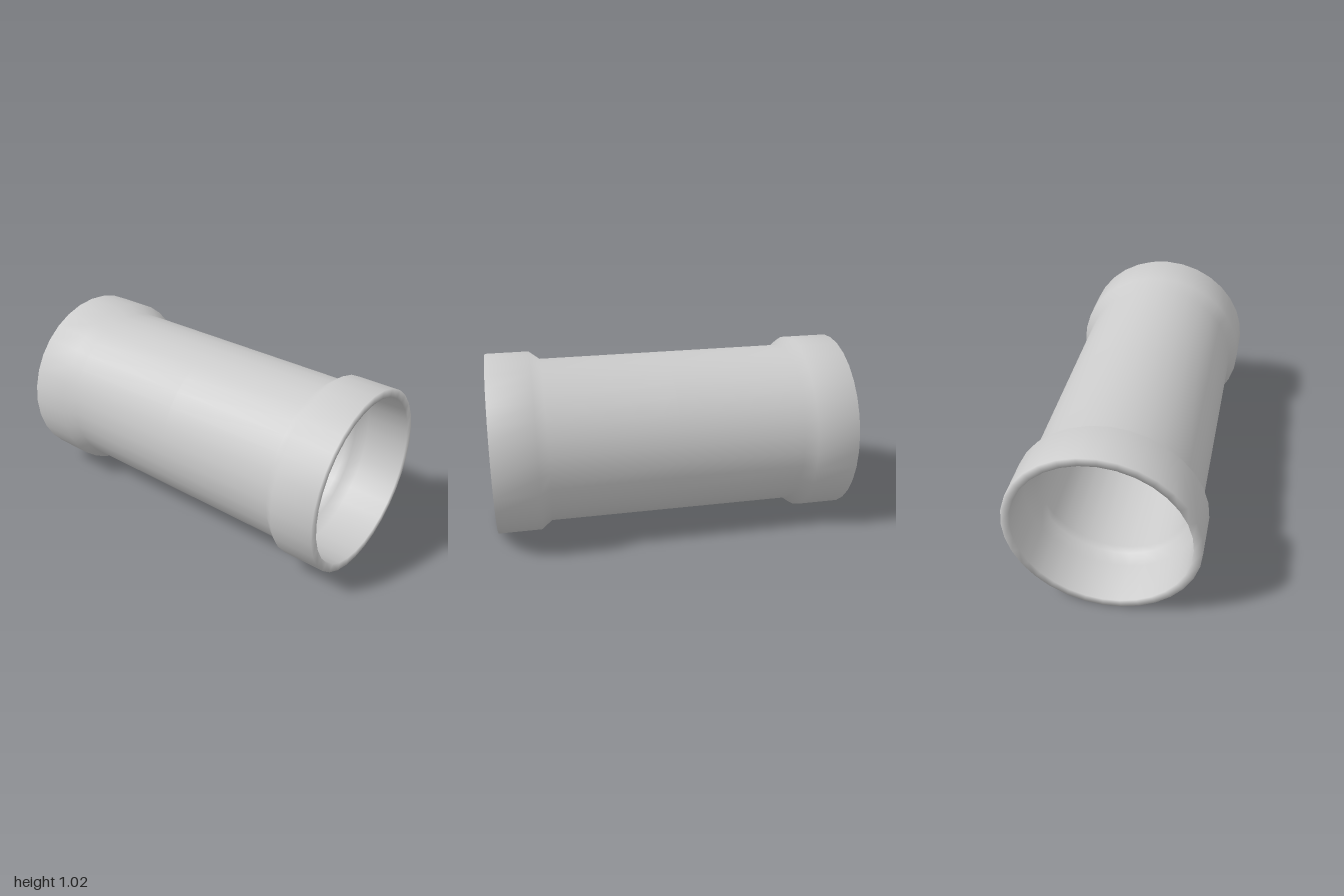
import * as THREE from 'three';

const SIDES = 32;
const RADIUS = 0.511; // outer radius of the end collars

export function createModel() {
  const group = new THREE.Group();
  group.name = 'pipe';

  // Half of the wall, as [radius, distance from the middle]
  const outer = [[0.465, 0.7], [RADIUS, 0.76], [RADIUS, 1]];
  const inner = [[0.465, 1], [0.465, 0.76], [0.427, 0.7], [0.417, 0.66]];
  const half = [...outer, ...inner];
  const mirrored = half.map(([r, d]) => [r, -d]).reverse();

  // Closed loop: up the outside, over the rim, down the bore, back to the start
  const profile = [[0.465, 0], ...half, ...mirrored, [0.465, 0]]
    .map(([r, d]) => new THREE.Vector2(r, d));

  // Smooth-shaded pipe with a widened socket at each end, lying along z
  const geometry = new THREE.LatheGeometry(profile, SIDES);
  geometry.rotateX(Math.PI / 2);
  const material = new THREE.MeshStandardMaterial({ color: 0xcccccc });
  const pipe = new THREE.Mesh(geometry, material);
  pipe.name = 'socketedPipe';
  pipe.position.y = RADIUS;
  group.add(pipe);

  return group;
}
